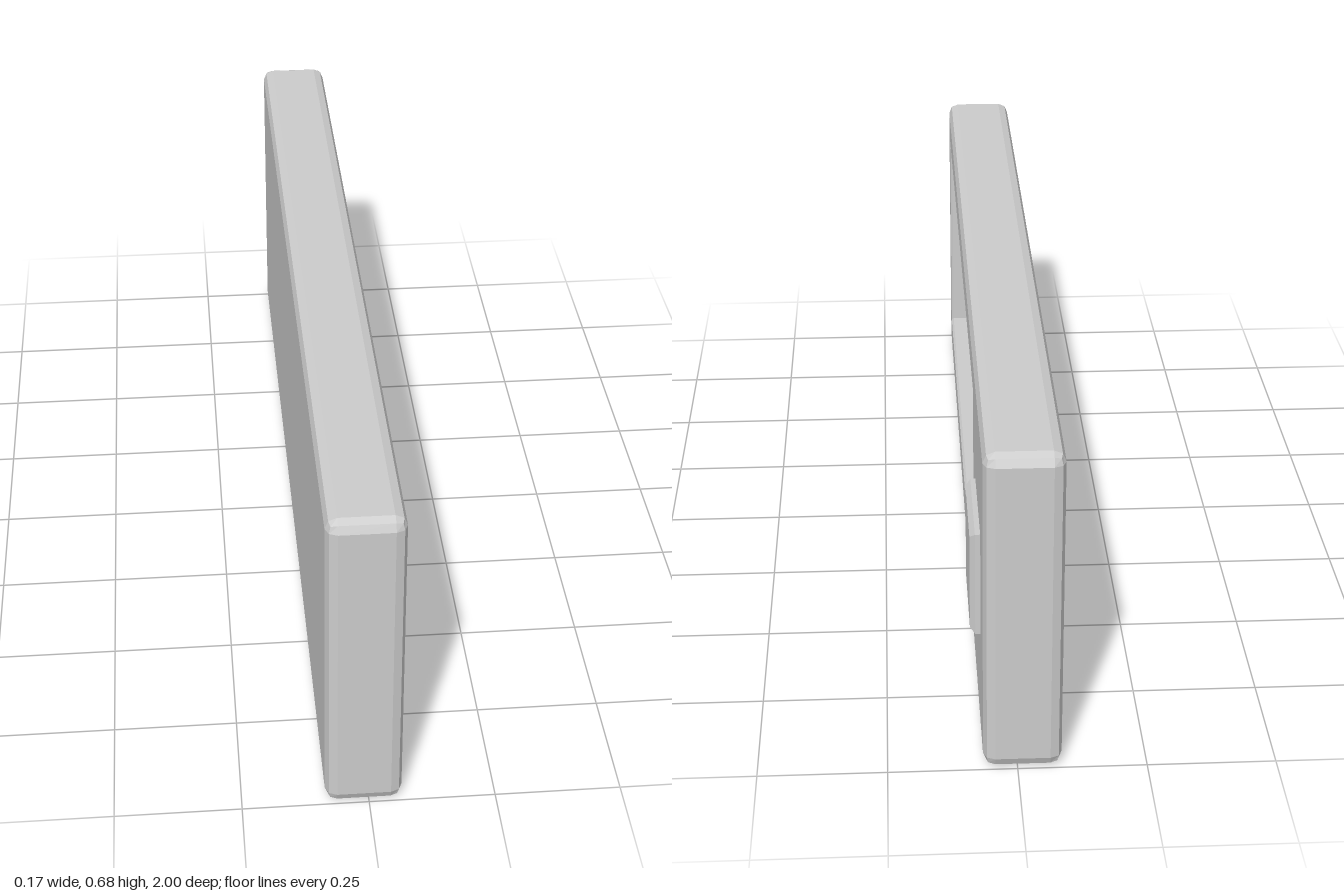
import * as THREE from 'three';
import { RoundedBoxGeometry } from 'three/addons/geometries/RoundedBoxGeometry.js';

const BACK = -0.086, FACE = 0.066, HEIGHT = 0.678, LENGTH = 2, BEVEL = 0.023;

// Flat-shaded surface through rectangles [x, zFront, zBack, yLow, yHigh], closed by a cap on the last one
function rectLoft(rings) {
  const corners = ([x, zf, zb, y0, y1]) => [[x, y0, zf], [x, y0, zb], [x, y1, zb], [x, y1, zf]];
  const pos = [];
  const quad = (a, b, c, d) => pos.push(...a, ...b, ...c, ...a, ...c, ...d);
  for (let r = 0; r < rings.length - 1; r++) {
    const a = corners(rings[r]), b = corners(rings[r + 1]);
    for (let i = 0; i < 4; i++) {
      const j = (i + 1) % 4;
      quad(a[i], a[j], b[j], b[i]);
    }
  }
  quad(...corners(rings[rings.length - 1]));
  return flatGeometry(pos);
}

function flatGeometry(pos) {
  const g = new THREE.BufferGeometry();
  g.setAttribute('position', new THREE.Float32BufferAttribute(pos, 3));
  g.computeVertexNormals();
  return g;
}

// Rectangle shrunk evenly on all sides, placed at x
const inset = (x, [zf, zb, y0, y1], d) => [x, zf - d, zb + d, y0 + d, y1 - d];

// Bevelled box without its flat +x panel, which the recessed face replaces
function shellGeometry() {
  const box = new RoundedBoxGeometry(FACE - BACK, HEIGHT, LENGTH, 1, BEVEL);
  box.translate((FACE + BACK) / 2, HEIGHT / 2, 0);
  const p = box.attributes.position.array;
  const kept = [];
  for (let i = 0; i < p.length; i += 9) {
    const onFace = [0, 3, 6].every((k) => p[i + k] > FACE - 1e-4);
    if (!onFace) kept.push(...p.slice(i, i + 9));
  }
  return flatGeometry(kept);
}

export function createModel() {
  const model = new THREE.Group();
  const grey = new THREE.MeshStandardMaterial({ color: 0xcccccc });
  grey.name = 'light grey';

  const add = (name, geometry) => {
    const mesh = new THREE.Mesh(geometry, grey);
    mesh.name = name;
    model.add(mesh);
  };

  add('bodyShell', shellGeometry());

  // Face frame, rim chamfer, recess walls, floor chamfer and floor
  const panel = [LENGTH / 2, -LENGTH / 2, 0, HEIGHT];
  const recess = [0.917, -0.559, 0.087, 0.597];
  add('recessedFace', rectLoft([
    inset(FACE, panel, BEVEL),
    inset(FACE, recess, 0),
    inset(FACE - 0.005, recess, 0.005),
    inset(-0.061, recess, 0.005),
    inset(-0.066, recess, 0.01),
  ]));

  // Square button with a chamfered edge
  const button = [-0.66, -0.88, 0.231, 0.451];
  add('button', rectLoft([
    inset(FACE - 0.005, button, 0),
    inset(0.076, button, 0),
    inset(0.086, button, 0.01),
  ]));

  return model;
}
